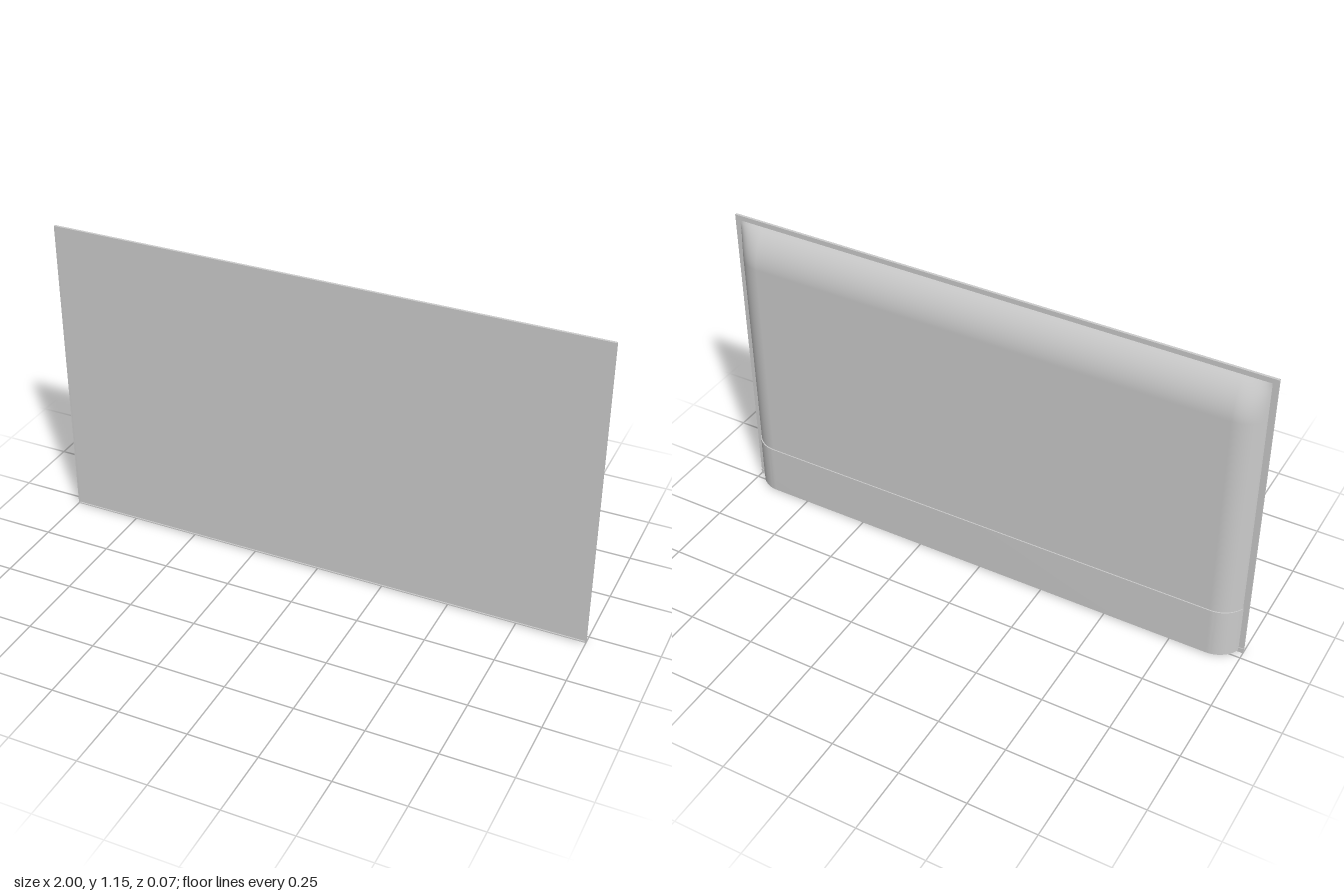
import * as THREE from 'three';
import { toCreasedNormals } from 'three/addons/utils/BufferGeometryUtils.js';

const H = 1.15;          // overall height
const FRONT = 0.036;     // front of the bezel
const SEAM = 0.027;      // where the back shell meets the panel
const SIDE = 0.98;       // half width of the back shell
const TOP = 1.132;       // top of the back shell
const DEPTH = 0.06;      // depth of the back shell
const STEPS = 14;

// Depth of an arc that starts at the rim and runs tangent into the flat back, t = distance from rim
function arcDepth(t, width, depth) {
  if (t >= width) return depth;
  const r = (width * width + depth * depth) / (2 * depth);
  return depth - r + Math.sqrt(r * r - (width - t) ** 2);
}

export function createModel() {
  const group = new THREE.Group();
  const material = new THREE.MeshStandardMaterial({ color: 0xcccccc });

  function add(name, geometry, x = 0, y = 0, z = 0) {
    const mesh = new THREE.Mesh(geometry, material);
    mesh.name = name;
    mesh.position.set(x, y, z);
    group.add(mesh);
    return mesh;
  }

  // Thin bezel around the slightly recessed screen
  const b = 0.004;
  const outline = new THREE.Shape([
    new THREE.Vector2(-1, 0), new THREE.Vector2(1, 0),
    new THREE.Vector2(1, H), new THREE.Vector2(-1, H),
  ]);
  outline.holes.push(new THREE.Path([
    new THREE.Vector2(-1 + b, b), new THREE.Vector2(-1 + b, H - b),
    new THREE.Vector2(1 - b, H - b), new THREE.Vector2(1 - b, b),
  ]));
  add('bezel', new THREE.ExtrudeGeometry(outline, { depth: FRONT - SEAM, bevelEnabled: false }), 0, 0, SEAM);
  add('screen', new THREE.BoxGeometry(2 - 2 * b, H - 2 * b, 0.004), 0, H / 2, SEAM + 0.002);

  // Slightly thicker strip along the bottom edge
  add('bottomStrip', new THREE.BoxGeometry(2, 0.02, 0.006), 0, 0.01, SEAM + 0.001);

  // Back shell: a grid bulged backwards, curving down to the rim at the sides and top
  const sideCurve = 0.095, topCurve = 0.14;
  const xs = [], ys = [];
  for (let i = 0; i <= STEPS; i++) xs.push(SIDE - sideCurve * i / STEPS);
  for (let i = STEPS; i >= 0; i--) xs.push(-xs[i]);
  for (let i = 0; i <= STEPS; i++) ys.push(TOP - topCurve * i / STEPS);
  ys.push(0.6, 0.2, 0.01);
  const shell = new THREE.PlaneGeometry(1, 1, xs.length - 1, ys.length - 1);
  const pos = shell.attributes.position;
  for (let i = 0; i < pos.count; i++) {
    const x = xs[i % xs.length], y = ys[Math.floor(i / xs.length)];
    const side = arcDepth(SIDE - Math.abs(x), sideCurve, 1 * DEPTH) / DEPTH;
    const top = arcDepth(TOP - y, topCurve, DEPTH) / DEPTH;
    pos.setXYZ(i, x, y, SEAM - DEPTH * side * top);
  }
  shell.computeVertexNormals();
  add('backShell', shell);

  // Lower cover: the same cross-section, a little prouder, with a flat underside
  const section = [];
  const proud = 0.004;
  for (const x of xs) {
    const d = arcDepth(SIDE - Math.abs(x), sideCurve, DEPTH + proud);
    section.push(new THREE.Vector2(x + Math.sign(x) * 0.002, d - SEAM));
  }
  const cover = new THREE.ExtrudeGeometry(new THREE.Shape(section), { depth: 0.195, bevelEnabled: false });
  cover.rotateX(-Math.PI / 2);
  add('lowerCover', toCreasedNormals(cover, 0.6), 0, 0.005, 0);

  return group;
}
